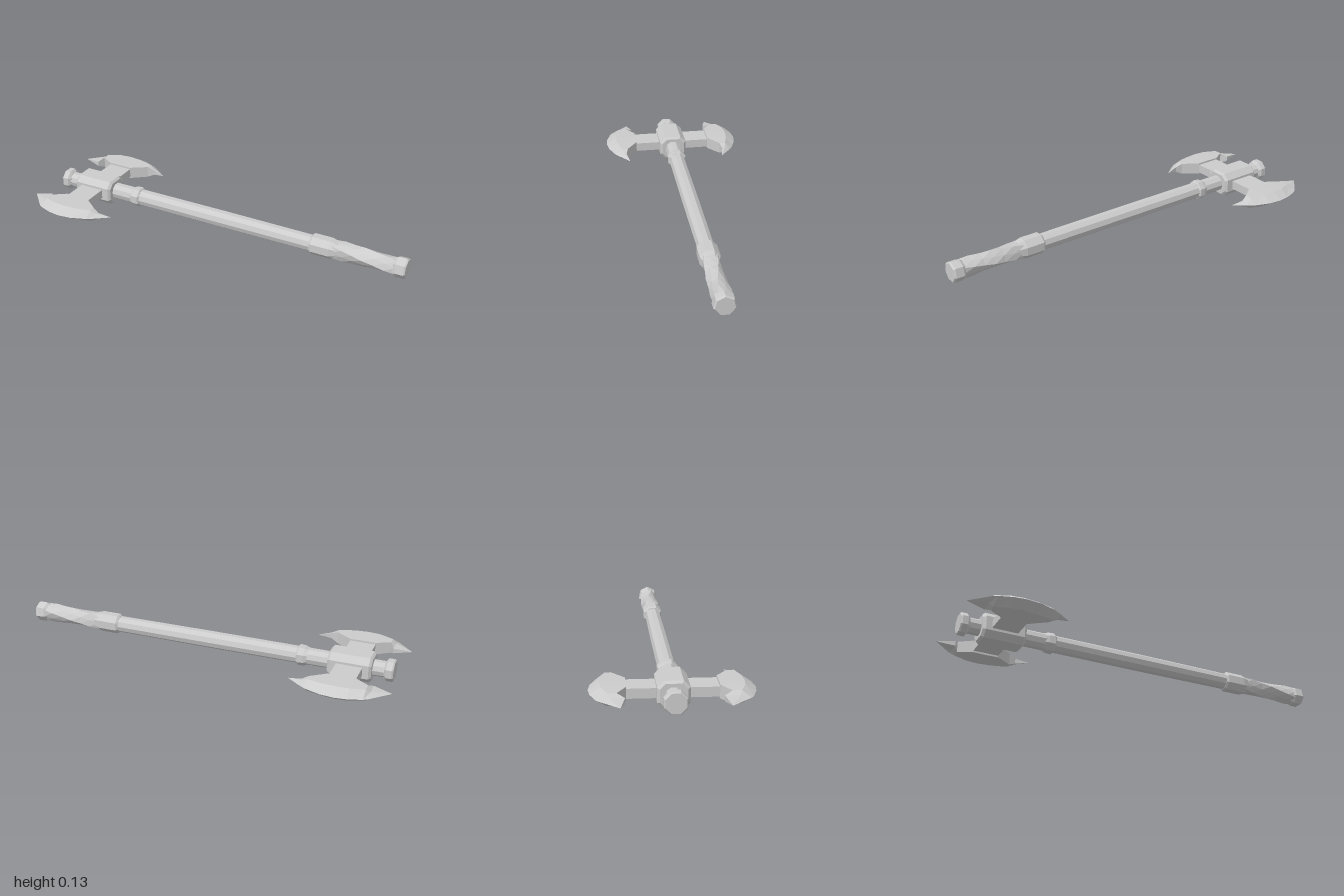
import * as THREE from 'three';

const AXIS_Y = 0.065; // height of the shaft's centre line
const material = new THREE.MeshStandardMaterial({ color: 0xcccccc, flatShading: true });

// Skins a row of equal-length rings (arrays of [x, y, z]) running along +x and caps both ends.
function loft(name, rings) {
  const n = rings[0].length;
  const index = [];
  rings.slice(1).forEach((_, s) => {
    for (let i = 0; i < n; i++) {
      const a = s * n + i, b = s * n + (i + 1) % n;
      index.push(a, b, a + n, b, b + n, a + n);
    }
  });
  const last = (rings.length - 1) * n;
  for (let i = 1; i < n - 1; i++) {
    index.push(0, i + 1, i, last, last + i, last + i + 1);
  }
  const indexed = new THREE.BufferGeometry();
  indexed.setAttribute('position', new THREE.Float32BufferAttribute(rings.flat(2), 3));
  indexed.setIndex(index);
  const geometry = indexed.toNonIndexed();
  geometry.computeVertexNormals();
  const mesh = new THREE.Mesh(geometry, material);
  mesh.name = name;
  return mesh;
}

// Round ring about the x axis; radius may vary with the side number.
function ring(x, radius, sides, turn = 0) {
  return Array.from({ length: sides }, (_, i) => {
    const a = turn + (i / sides) * Math.PI * 2;
    const r = typeof radius === 'function' ? radius(i) : radius;
    return [x, r * Math.cos(a), r * Math.sin(a)];
  });
}

const turned = (name, sides, profile, turn = Math.PI / sides) =>
  loft(name, profile.map(([x, r]) => ring(x, r, sides, turn)));

// Rectangle with cut corners, used for the head block
function chamferedRing(x, h, w, c) {
  return [[h, -w + c], [h, w - c], [h - c, w], [-h + c, w],
    [-h, w - c], [-h, -w + c], [-h + c, -w], [h - c, -w]].map(([y, z]) => [x, y, z]);
}

// Blade stations: x, inner edge z, shoulder z, cutting edge z, half thickness
const bladeStations = [
  [-1.0, 0.235, 0.236, 0.237, 0.0005],
  [-0.91, 0.213, 0.28, 0.328, 0.013],
  [-0.89, 0.248, 0.29, 0.341, 0.029],
  [-0.82, 0.205, 0.315, 0.364, 0.032],
  [-0.76, 0.205, 0.32, 0.371, 0.033],
  [-0.69, 0.205, 0.315, 0.363, 0.032],
  [-0.61, 0.262, 0.295, 0.334, 0.03],
  [-0.575, 0.273, 0.285, 0.311, 0.014],
  [-0.51, 0.26, 0.261, 0.262, 0.0005],
];

function createAxeSide(name) {
  const side = new THREE.Group();
  side.name = name;
  side.add(loft('blade', bladeStations.map(([x, inner, shoulder, edge, h]) =>
    [[x, h, inner], [x, h, shoulder], [x, 0, edge], [x, -h, shoulder], [x, -h, inner]])));

  // Arm joining the head block to the blade
  const arm = new THREE.Mesh(new THREE.BoxGeometry(0.13, 0.046, 0.17), material);
  arm.name = 'bladeArm';
  arm.position.set(-0.755, 0, 0.135);
  side.add(arm);
  return side;
}

export function createModel() {
  const model = new THREE.Group();
  model.name = 'doubleAxe';
  const axe = new THREE.Group();
  axe.name = 'axe';
  axe.position.y = AXIS_Y;
  model.add(axe);

  // Shaft with its knob and collars
  axe.add(turned('shaft', 10, [[-0.93, 0.04], [-0.6, 0.043], [0, 0.044], [0.55, 0.042]]));
  axe.add(turned('topKnob', 8, [[-0.965, 0.05], [-0.958, 0.056], [-0.93, 0.056], [-0.918, 0.042]]));
  axe.add(turned('headCollar', 8, [[-0.535, 0.043], [-0.515, 0.051], [-0.485, 0.053], [-0.478, 0.045]]));
  axe.add(turned('gripSleeve', 8, [[0.505, 0.045], [0.515, 0.053], [0.61, 0.053], [0.645, 0.043]]));

  // Wrapped grip: alternating ridges that spiral around the handle
  const grip = [];
  for (let i = 0; i <= 6; i++) {
    const ridge = i % 2 ? 0.05 : 0.047;
    grip.push(ring(0.62 + i * 0.055, (k) => (k % 2 ? ridge : 0.041), 8, i * 0.22));
  }
  axe.add(loft('grip', grip));
  axe.add(turned('endCap', 7, [[0.935, 0.043], [0.95, 0.053], [0.992, 0.053], [1.0, 0.047]], 0));

  // Head block
  axe.add(loft('headBlock', [
    chamferedRing(-0.862, 0.055, 0.062, 0.026),
    chamferedRing(-0.85, 0.065, 0.073, 0.03),
    chamferedRing(-0.655, 0.065, 0.073, 0.03),
    chamferedRing(-0.643, 0.055, 0.062, 0.026),
  ]));

  // Matching blades; half a turn about the shaft gives the back one
  const front = createAxeSide('frontAxeBlade');
  const back = createAxeSide('backAxeBlade');
  back.rotation.x = Math.PI;
  axe.add(front, back);

  return model;
}
